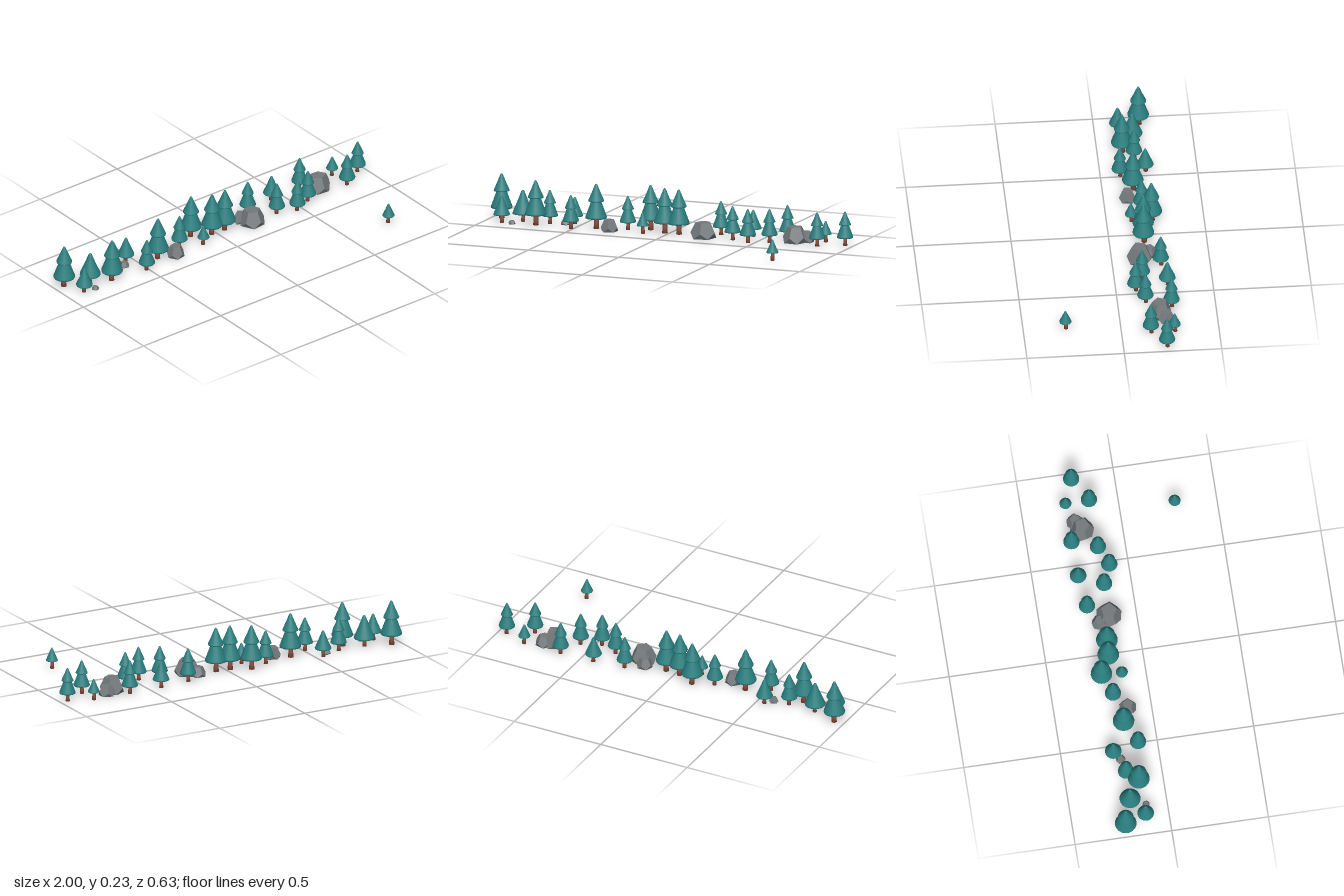
import * as THREE from 'three';
import { ConvexGeometry } from 'three/addons/geometries/ConvexGeometry.js';

const leafMat = new THREE.MeshStandardMaterial({ color: 0x2a7f80 });
const barkMat = new THREE.MeshStandardMaterial({ color: 0x8b4f3d });
const rockMat = new THREE.MeshStandardMaterial({ color: 0x73787b, flatShading: true });

// Foliage tier: a cone with a rounded rim and a blunt tip
function tier(name, r, y0, y1) {
  const h = y1 - y0;
  const profile = [
    [0, y0 + 0.03 * h], [r * 0.9, y0], [r * 0.97, y0 + 0.005 * h], [r, y0 + 0.035 * h],
    [r * 0.975, y0 + 0.075 * h], [r * 0.55, y0 + 0.5 * h], [r * 0.17, y1 - 0.075 * h],
    [r * 0.1, y1 - 0.02 * h], [0, y1],
  ].map(([x, y]) => new THREE.Vector2(x, y));
  const mesh = new THREE.Mesh(new THREE.LatheGeometry(profile, 18), leafMat);
  mesh.name = name;
  return mesh;
}

// Trunk with a slight flare at the foot, set a little behind the foliage axis
function trunk(r, h) {
  const profile = [[0, 0], [r * 1.1, 0], [r * 0.95, h * 0.35], [r * 0.8, h], [0, h]]
    .map(([x, y]) => new THREE.Vector2(x, y));
  const mesh = new THREE.Mesh(new THREE.LatheGeometry(profile, 10), barkMat);
  mesh.name = 'trunk';
  mesh.position.z = -0.003;
  return mesh;
}

// Small tree with one foliage tier
function singleTree(r, h) {
  const tree = new THREE.Group();
  tree.name = 'singleTierTree';
  tree.add(trunk(0.01, 0.055), tier('foliage', r, 0.041, h));
  return tree;
}

// Taller tree with two stacked tiers
function doubleTree(s) {
  const tree = new THREE.Group();
  tree.name = 'twoTierTree';
  tree.add(
    trunk(0.01, 0.055),
    tier('lowerFoliage', 0.042, 0.041, 0.155),
    tier('upperFoliage', 0.031, 0.108, 0.177),
  );
  tree.scale.setScalar(s);
  return tree;
}

// Faceted boulder: three pentagonal rings, cut flat at the ground
function rock(r, h, turn) {
  const points = [];
  for (const [radius, y, shift] of [[0.97, 0, 0.5], [0.98, 0.36, 0], [0.61, 1, 0]]) {
    for (let i = 0; i < 5; i++) {
      const a = (i + shift) * Math.PI * 0.4 + turn;
      points.push(new THREE.Vector3(Math.cos(a) * radius * r, y * h, Math.sin(a) * radius * r));
    }
  }
  const mesh = new THREE.Mesh(new ConvexGeometry(points), rockMat);
  mesh.name = 'rock';
  return mesh;
}

export function createModel() {
  const model = new THREE.Group();
  model.name = 'treeLine';
  const place = (part, x, z) => {
    part.position.set(x, 0, z);
    model.add(part);
  };

  // Tall two-tier trees: x, z
  for (const [x, z] of [
    [-0.945, -0.23], [-0.715, -0.127], [-0.393, -0.157],
    [-0.122, -0.23], [-0.024, -0.18], [0.056, -0.175],
  ]) place(doubleTree(1.325), x, z);

  // Medium two-tier trees: x, z
  for (const [x, z] of [
    [-0.66, -0.185], [-0.51, -0.1], [-0.23, -0.187], [0.26, -0.247], [0.367, -0.142],
    [0.468, -0.1], [0.57, -0.143], [0.617, -0.273], [0.83, -0.15], [0.955, -0.223],
  ]) place(doubleTree(1), x, z);

  // Single-tier trees: x, z, radius, height
  for (const [x, z, r, h] of [
    [-0.9, -0.12, 0.043, 0.14], [-0.81, -0.187, 0.054, 0.166], [-0.542, -0.233, 0.043, 0.14],
    [0.43, -0.267, 0.043, 0.14], [-0.123, -0.125, 0.031, 0.11],
    [0.828, -0.272, 0.031, 0.11], [0.76, 0.283, 0.031, 0.11],
  ]) place(singleTree(r, h), x, z);

  // Rocks: x, z, radius, height, turn
  for (const [x, z, r, h, turn] of [
    [0.206, -0.142, 0.068, 0.08, 0.2], [0.172, -0.195, 0.042, 0.05, 0.9],
    [-0.305, -0.122, 0.046, 0.06, 0.1], [0.685, -0.208, 0.064, 0.082, 0.4],
    [0.732, -0.238, 0.045, 0.055, 0], [-0.578, -0.2, 0.026, 0.026, 0.5],
    [-0.838, -0.108, 0.019, 0.018, 0.3],
  ]) place(rock(r, h, turn), x, z);

  return model;
}
